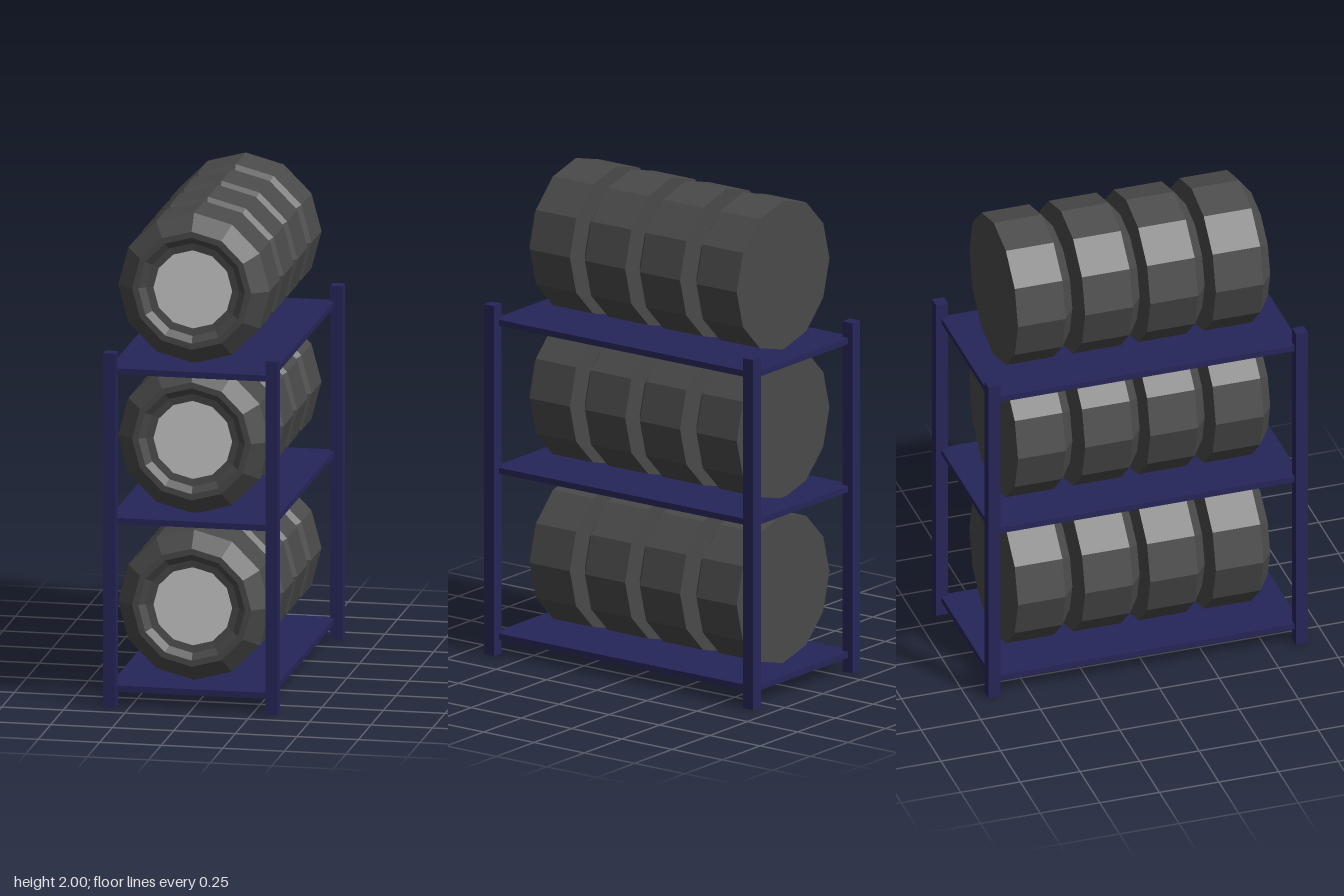
import * as THREE from 'three';

const material = (color) => new THREE.MeshStandardMaterial({ color, flatShading: true });

export function createModel() {
  const model = new THREE.Group();
  model.name = 'tyreRack';
  const frame = material(0x26265a);
  const rubber = material(0x4a4a4a);
  const metal = material(0xcccccc);

  const add = (parent, name, geometry, mat, x, y, z) => {
    const mesh = new THREE.Mesh(geometry, mat);
    mesh.name = name;
    mesh.position.set(x, y, z);
    parent.add(mesh);
  };

  // Four corner posts
  const postGeo = new THREE.BoxGeometry(0.05, 1.45, 0.05);
  for (const x of [-0.33, 0.33]) {
    for (const z of [-0.645, 0.645]) add(model, 'post', postGeo, frame, x, 0.725, z);
  }

  // Tyre: closed flat back, bevelled front shoulder, shallow recess around the hub
  const profile = [
    [0, -0.125], [0.308, -0.125], [0.308, 0.075], [0.242, 0.125],
    [0.217, 0.125], [0.19, 0.105], [0.16, 0.1],
  ].map(([r, z]) => new THREE.Vector2(r, z));
  const tyreGeo = new THREE.LatheGeometry(profile, 12).rotateX(Math.PI / 2);
  const hubGeo = new THREE.CircleGeometry(0.16, 12);

  // Three shelves, each carrying a row of four tyres
  const shelfGeo = new THREE.BoxGeometry(0.655, 0.025, 1.295);
  const levels = [[0.073, 0.393], [0.76, 1.075], [1.373, 1.692]];
  for (const [shelfY, tyreY] of levels) {
    add(model, 'shelf', shelfGeo, frame, -0.008, shelfY, 0);
    for (const z of [0.418, 0.143, -0.13, -0.412]) {
      const wheel = new THREE.Group();
      wheel.name = 'wheel';
      wheel.position.set(-0.021, tyreY, z);
      add(wheel, 'tyre', tyreGeo, rubber, 0, 0, 0);
      add(wheel, 'hub', hubGeo, metal, 0, 0, 0.1);
      model.add(wheel);
    }
  }
  return model;
}
